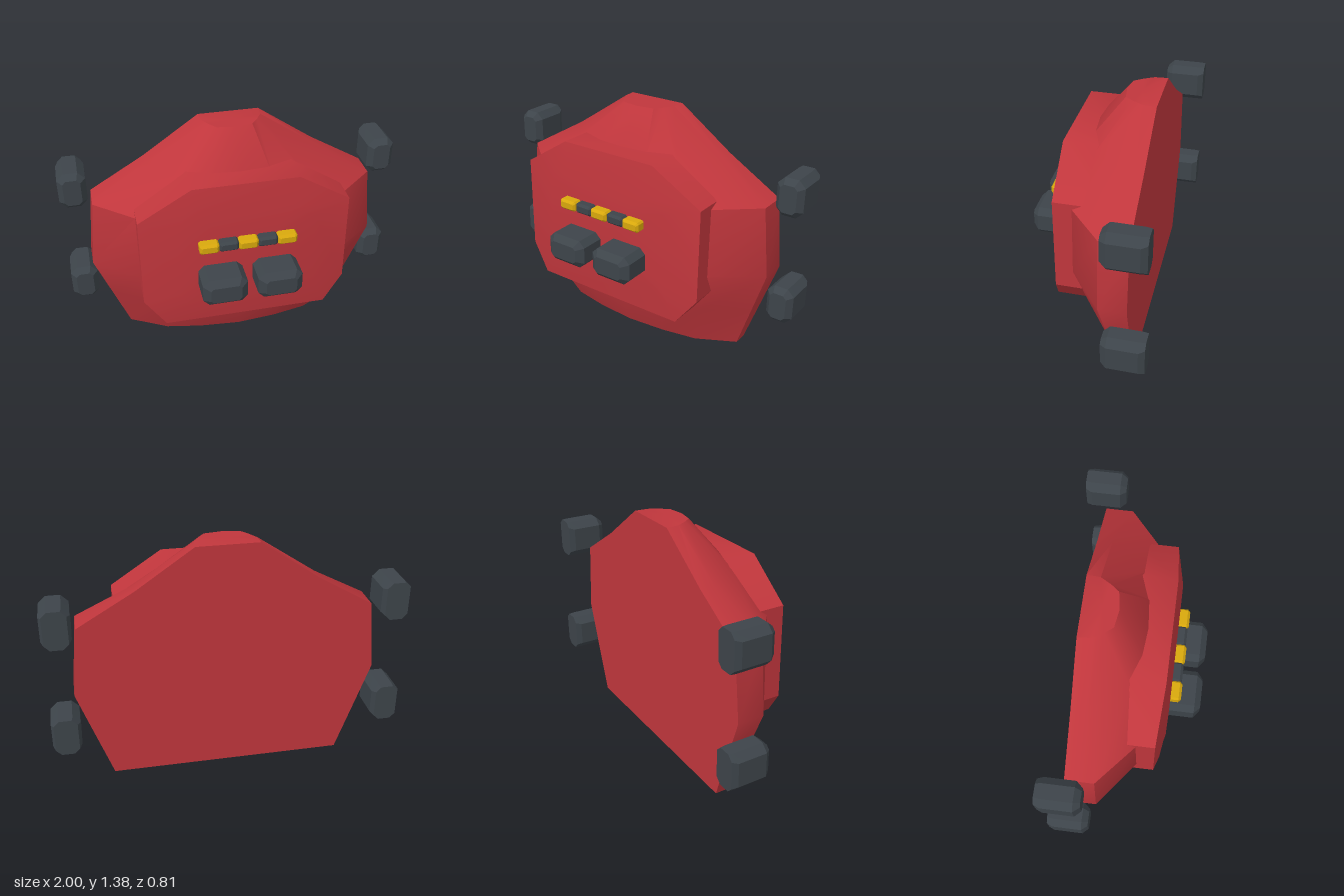
import * as THREE from 'three';
import { toCreasedNormals } from 'three/addons/utils/BufferGeometryUtils.js';

const material = (name, color) => {
  const m = new THREE.MeshStandardMaterial({ color });
  m.name = name;
  return m;
};

// Closed solid through equal-length rings, counter-clockwise seen from the end they advance to.
function loft(rings, crease) {
  const pos = [];
  const tri = (...pts) => pts.forEach((p) => pos.push(...p));
  const n = rings[0].length;
  const centre = (r) => [0, 1, 2].map((k) => r.reduce((s, p) => s + p[k], 0) / n);
  const last = rings[rings.length - 1];
  for (let j = 0; j < n; j++) {
    const k = (j + 1) % n;
    for (let i = 0; i + 1 < rings.length; i++) {
      const a = rings[i], b = rings[i + 1];
      tri(a[j], a[k], b[k]);
      tri(a[j], b[k], b[j]);
    }
    tri(centre(rings[0]), rings[0][k], rings[0][j]);
    tri(centre(last), last[j], last[k]);
  }
  const g = new THREE.BufferGeometry();
  g.setAttribute('position', new THREE.Float32BufferAttribute(pos, 3));
  return toCreasedNormals(g, crease);
}

// Eight-sided ring in the xy plane with cut corners.
function octagon(w, h, cut, z) {
  const x = w / 2, y = h / 2;
  return [
    [x, -y + cut, z], [x, y - cut, z], [x - cut, y, z], [-x + cut, y, z],
    [-x, y - cut, z], [-x, -y + cut, z], [-x + cut, -y, z], [x - cut, -y, z],
  ];
}

export function createModel() {
  const group = new THREE.Group();
  const red = material('red', 0xc0363c);
  const dark = material('charcoal', 0x3d444a);
  const gold = material('gold', 0xd8a80c);

  const add = (name, geometry, mat, x = 0, y = 0, z = 0) => {
    const mesh = new THREE.Mesh(geometry, mat);
    mesh.name = name;
    mesh.position.set(x, y, z);
    group.add(mesh);
  };

  // Main shell: level sections, each from the front centre to the back corner [x, z]
  const sections = [
    [0, [[0, -0.02], [0.24, -0.04], [0.45, -0.08], [0.67, -0.2], [0.67, -0.285]]],
    [0.28, [[0, 0.09], [0.3, 0.075], [0.53, 0.0], [0.767, -0.165], [0.767, -0.285]]],
    [0.55, [[0, 0.12], [0.32, 0.11], [0.6, 0.07], [0.86, -0.13], [0.86, -0.285]]],
    [0.96, [[0, 0.12], [0.32, 0.11], [0.6, 0.065], [0.82, -0.125], [0.82, -0.285]]],
    [1.15, [[0, 0.085], [0.17, 0.07], [0.34, 0.01], [0.5, -0.2], [0.5, -0.285]]],
    [1.375, [[0, -0.09], [0.1, -0.105], [0.135, -0.15], [0.17, -0.21], [0.175, -0.285]]],
  ];
  const shell = sections.map(([y, half]) => [
    ...half.map(([x, z]) => [x, y, z]),
    ...half.slice(1).reverse().map(([x, z]) => [-x, y, z]),
  ]);
  add('shell', loft(shell, 0.6), red);

  // Raised front plate with a shallow bevel
  const mirrorRing = (half) => [...half, ...half.slice().reverse().map(([x, y, z]) => [-x, y, z])];
  const outline = [[0.48, 0.28], [0.6, 0.44], [0.6, 0.99], [0.3, 1.18]];
  const rimZ = [0.197, 0.17, 0.17, 0.19];
  add('frontPlate', loft([
    mirrorRing(outline.map(([x, y]) => [x, y, -0.05])),
    mirrorRing(outline.map(([x, y], i) => [x, y, rimZ[i]])),
    mirrorRing([[0.35, 0.43, 0.22], [0.39, 0.5, 0.22], [0.39, 0.93, 0.22], [0.26, 1.0, 0.22]]),
  ], 0.6), red);

  // Four side pads, two on each side
  const pad = loft([
    octagon(0.13, 0.22, 0.03, -0.118),
    octagon(0.16, 0.22, 0.04, -0.085),
    octagon(0.16, 0.22, 0.04, 0.083),
    octagon(0.1, 0.16, 0.02, 0.118),
  ], 0.3);
  for (const [side, sx] of [['left', 1], ['right', -1]]) {
    add(side + 'UpperPad', pad, dark, sx * 0.92, 1.02, -0.288);
    add(side + 'LowerPad', pad, dark, sx * 0.92, 0.36, -0.288);
  }

  // Two chunky buttons
  const button = loft([
    octagon(0.255, 0.168, 0.035, -0.01),
    octagon(0.255, 0.168, 0.035, 0.145),
    octagon(0.175, 0.1, 0.015, 0.18),
  ], 0.3);
  add('leftButton', button, dark, 0.158, 0.605, 0.22);
  add('rightButton', button, dark, -0.158, 0.605, 0.22);

  // Strip of alternating blocks
  const block = (h, d) => loft([
    octagon(0.11, h, 0.01, -0.01),
    octagon(0.11, h, 0.01, d - 0.014),
    octagon(0.085, h - 0.025, 0.005, d),
  ], 0.3);
  const goldBlock = block(0.06, 0.06), darkBlock = block(0.06, 0.055);
  for (let i = 0; i < 5; i++) {
    const even = i % 2 === 0;
    add('stripBlock' + (i + 1), even ? goldBlock : darkBlock, even ? gold : dark,
      -0.225 + i * 0.111, 0.833, 0.22);
  }

  return group;
}
